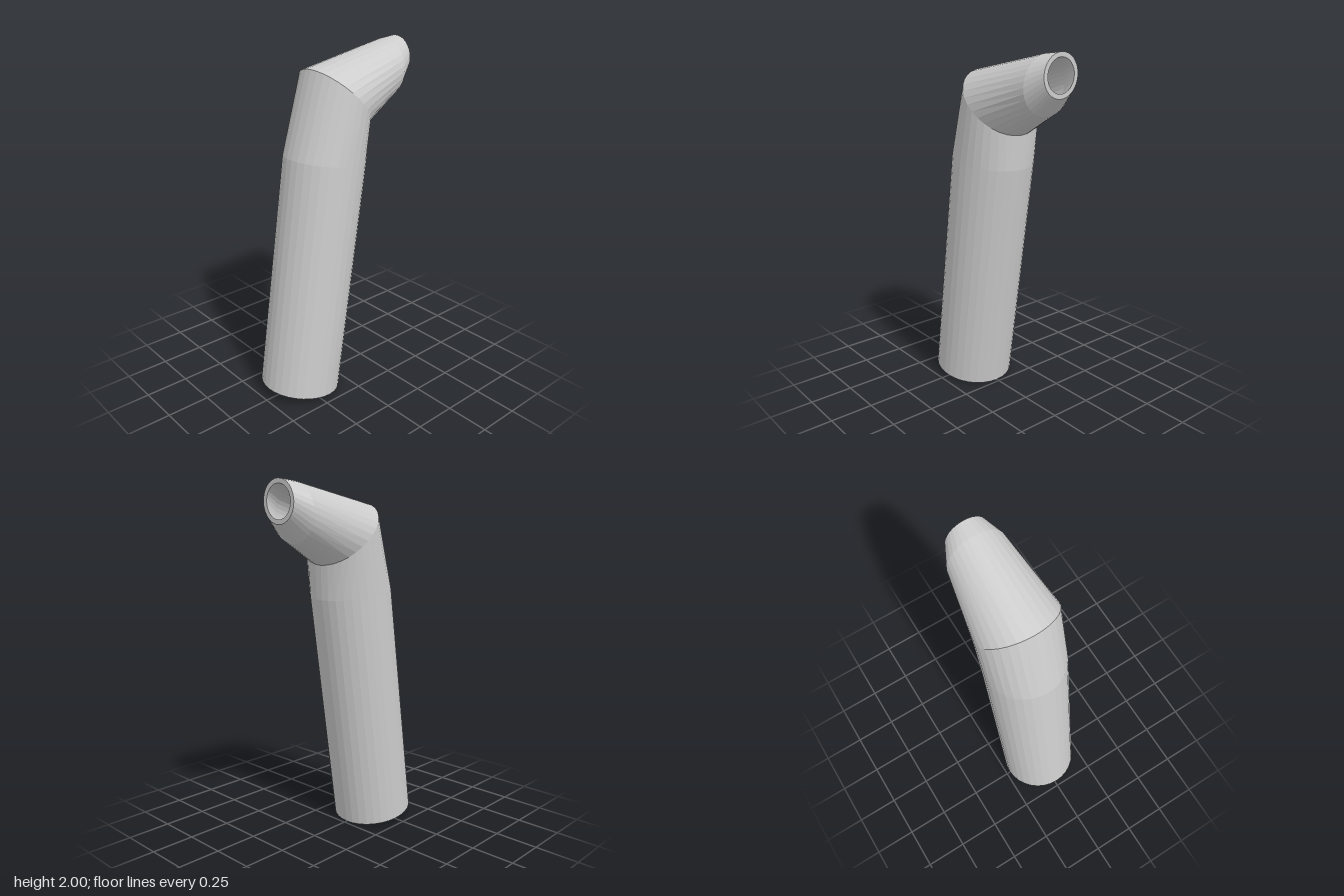
import * as THREE from 'three';

const SIDES = 32;

// Elliptical sections: front/top point and back/bottom point as [z, y],
// half width in x, and the bore size relative to the outside.
const SECTIONS = [
  { a: [0.48, 0.07], b: [0.02, 0.0], w: 0.23, bore: 0.67 },     // open lower end
  { a: [0.28, 1.42], b: [-0.18, 1.36], w: 0.23, bore: 0.67 },   // slight bend
  { a: [0.14, 1.88], b: [-0.185, 1.55], w: 0.23, bore: 0.67 },  // mitred elbow
  { a: [-0.39, 1.99], b: [-0.385, 1.67], w: 0.165, bore: 0.7 }, // start of the tip
  { a: [-0.48, 2.0], b: [-0.48, 1.77], w: 0.115, bore: 0.78 },  // open tip
];

// One ring of points around a section
function ring({ a, b, w }, scale = 1) {
  const cz = (a[0] + b[0]) / 2, cy = (a[1] + b[1]) / 2;
  const hz = (a[0] - b[0]) / 2, hy = (a[1] - b[1]) / 2;
  return Array.from({ length: SIDES }, (_, i) => {
    const t = (i / SIDES) * Math.PI * 2;
    const c = Math.cos(t) * scale;
    return [w * scale * Math.sin(t), cy + hy * c, cz + hz * c];
  });
}

// Faceted skin through consecutive rings
function loft(name, rings, material) {
  const points = rings.flat(2);
  const index = [];
  for (let r = 0; r < rings.length - 1; r++) {
    for (let i = 0; i < SIDES; i++) {
      const j = (i + 1) % SIDES;
      const p = r * SIDES + i, q = r * SIDES + j;
      index.push(p, q, q + SIDES, p, q + SIDES, p + SIDES);
    }
  }
  const indexed = new THREE.BufferGeometry();
  indexed.setAttribute('position', new THREE.Float32BufferAttribute(points, 3));
  indexed.setIndex(index);
  const geometry = indexed.toNonIndexed();
  geometry.computeVertexNormals();
  const mesh = new THREE.Mesh(geometry, material);
  mesh.name = name;
  return mesh;
}

export function createModel() {
  const group = new THREE.Group();
  group.name = 'bentTube';
  const material = new THREE.MeshStandardMaterial({ color: 0xcccccc, flatShading: true });

  const outer = SECTIONS.map((s) => ring(s));
  const inner = SECTIONS.map((s) => ring(s, s.bore));
  const last = SECTIONS.length - 1;

  group.add(
    loft('shaft', outer.slice(0, 3), material),
    loft('spout', outer.slice(2), material),
    loft('tipRim', [outer[last], inner[last]], material),
    loft('bore', [...inner].reverse(), material),
    loft('lowerRim', [inner[0], outer[0]], material),
  );
  return group;
}
